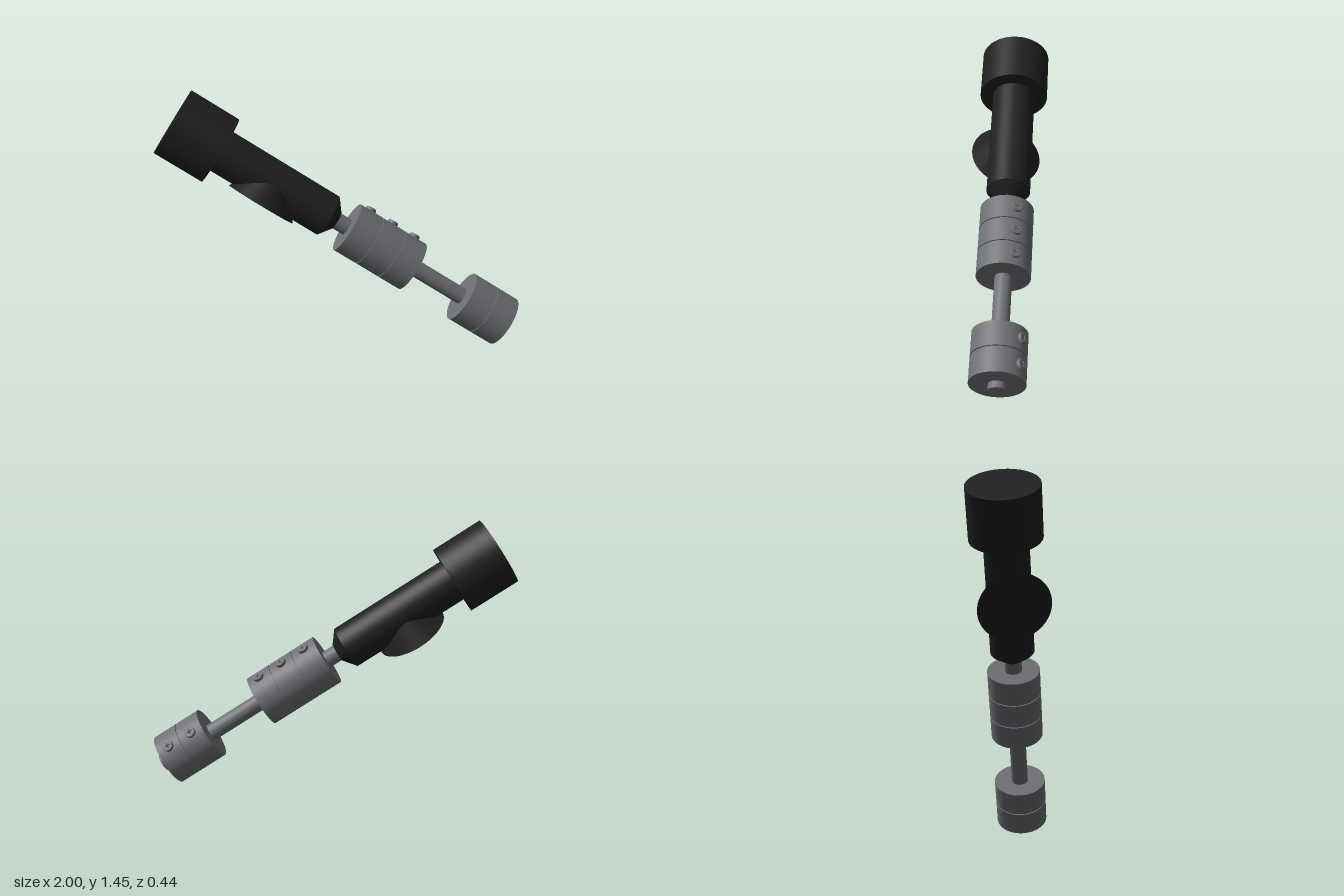
import * as THREE from 'three';

export function createModel() {
  const black = new THREE.MeshStandardMaterial({ color: 0x202020 });
  black.name = 'black';
  const grey = new THREE.MeshStandardMaterial({ color: 0x6e7074 });
  grey.name = 'steel grey';

  const model = new THREE.Group();
  model.name = 'adjustableHandle';

  // Everything is laid out along local y, from the head down to the rod tip
  const body = new THREE.Group();
  body.name = 'body';
  model.add(body);
  const axis = new THREE.Vector3(0.841, -0.54, 0.0324).normalize();
  const up = new THREE.Vector3(0.54, 0.841, 0).normalize();
  const side = new THREE.Vector3().crossVectors(up, axis).normalize();
  body.quaternion.setFromRotationMatrix(new THREE.Matrix4().makeBasis(up, axis, side));
  body.position.set(-0.895, 1.295, -0.015);

  function add(name, geometry, material, parent = body) {
    const mesh = new THREE.Mesh(geometry, material);
    mesh.name = name;
    parent.add(mesh);
    return mesh;
  }

  // Round section between two distances along the axis
  function section(name, from, to, r0, r1, material) {
    const geometry = new THREE.CylinderGeometry(r1, r0, to - from, 64);
    geometry.translate(0, (from + to) / 2, 0);
    return add(name, geometry, material);
  }

  // Group at a distance along the axis, its x pointing outward at an angle
  function spoke(name, at, degrees) {
    const group = new THREE.Group();
    group.name = name;
    group.position.y = at;
    group.rotation.y = -THREE.MathUtils.degToRad(degrees);
    body.add(group);
    return group;
  }

  // Dark half: head, tube and tapered collar
  section('head', 0, 0.295, 0.195, 0.195, black);
  section('tube', 0.29, 0.98, 0.121, 0.121, black);
  section('tubeCollar', 0.98, 1.035, 0.121, 0.052, black);

  // Flared foot under the tube
  const foot = spoke('footMount', 0.633, 193);
  const flare = new THREE.CylinderGeometry(0.2, 0.115, 0.137, 64);
  flare.rotateZ(-Math.PI / 2);
  flare.translate(0.0685, 0, 0);
  add('flaredFoot', flare, black, foot);

  // Rod running through both sets of weights
  section('rod', 1.0, 2.192, 0.047, 0.047, grey);

  // Screw head: bevelled disc with a cross-shaped recess
  const disc = new THREE.Shape();
  disc.absarc(0, 0, 0.026, 0, Math.PI * 2);
  const a = 0.005, b = 0.017;
  const cross = [[a, a], [a, b], [-a, b], [-a, a], [-b, a], [-b, -a],
    [-a, -a], [-a, -b], [a, -b], [a, -a], [b, -a], [b, a]];
  disc.holes.push(new THREE.Path(cross.map(([x, y]) => new THREE.Vector2(x, y))));
  const screwGeometry = new THREE.ExtrudeGeometry(disc, {
    depth: 0.022, curveSegments: 24,
    bevelThickness: 0.004, bevelSize: 0.004, bevelSegments: 2,
  });
  screwGeometry.rotateY(Math.PI / 2);
  const floorGeometry = new THREE.CylinderGeometry(0.024, 0.024, 0.012, 24);
  floorGeometry.rotateZ(-Math.PI / 2);

  // Stack of weight discs, each with its own set screw
  function weightStack(name, start, count, degrees) {
    const pitch = 0.145;
    for (let i = 0; i < count; i++) {
      const from = start + i * pitch;
      section(name + 'Disc', from + 0.003, from + pitch - 0.003, 0.146, 0.146, grey);
      const mount = spoke(name + 'ScrewMount', from + pitch / 2, degrees);
      add(name + 'Screw', screwGeometry, grey, mount).position.x = 0.136;
      add(name + 'ScrewFloor', floorGeometry, grey, mount).position.x = 0.145;
    }
    section(name + 'Core', start + 0.01, start + count * pitch - 0.01, 0.138, 0.138, grey);
  }
  weightStack('innerWeight', 1.103, 3, 24);
  weightStack('outerWeight', 1.868, 2, 52);

  return model;
}
